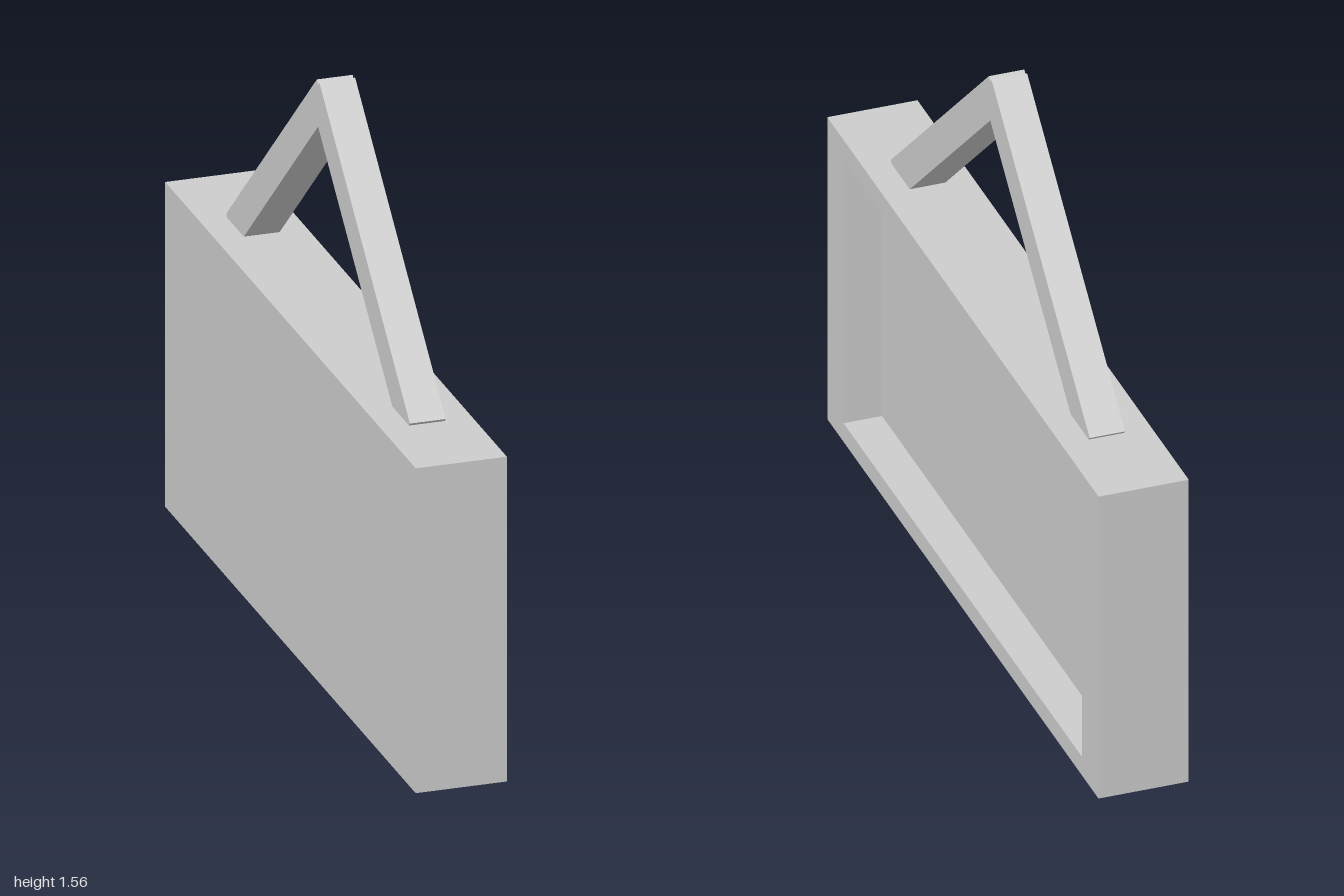
import * as THREE from 'three';

const HEIGHT = 0.893, HALF_DEPTH = 0.122, FLOOR_X = 0.018;

// Closed rectangle outline, used for the frame and its opening
function rect(target, halfWidth, bottom, top) {
  target.moveTo(-halfWidth, bottom);
  target.lineTo(halfWidth, bottom);
  target.lineTo(halfWidth, top);
  target.lineTo(-halfWidth, top);
  target.closePath();
  return target;
}

export function createModel() {
  const model = new THREE.Group();
  model.name = 'hangingSign';
  const grey = new THREE.MeshStandardMaterial({ color: 0xcccccc });
  grey.name = 'light grey';

  const add = (name, geometry) => {
    const mesh = new THREE.Mesh(geometry, grey);
    mesh.name = name;
    model.add(mesh);
    return mesh;
  };

  // Raised rim around the recess, open towards +x
  const outline = rect(new THREE.Shape(), 1, 0, HEIGHT);
  outline.holes.push(rect(new THREE.Path(), 0.88, 0.055, 0.84));
  const rim = new THREE.ExtrudeGeometry(outline, { depth: HALF_DEPTH - FLOOR_X, bevelEnabled: false });
  rim.rotateY(Math.PI / 2);
  add('frame', rim).position.x = FLOOR_X;

  // Solid slab behind the recess
  const thickness = FLOOR_X + HALF_DEPTH;
  add('backPanel', new THREE.BoxGeometry(thickness, HEIGHT, 2))
    .position.set(FLOOR_X - thickness / 2, HEIGHT / 2, 0);

  // Two sloping bars that meet at the peak and pass through the top of the frame
  for (const side of [1, -1]) {
    const bar = add(side > 0 ? 'frontHangerBar' : 'backHangerBar', new THREE.BoxGeometry(0.096, 0.1, 0.975));
    bar.position.set(0, 1.191, side * 0.338);
    bar.rotation.x = side * 0.735;
  }
  return model;
}
